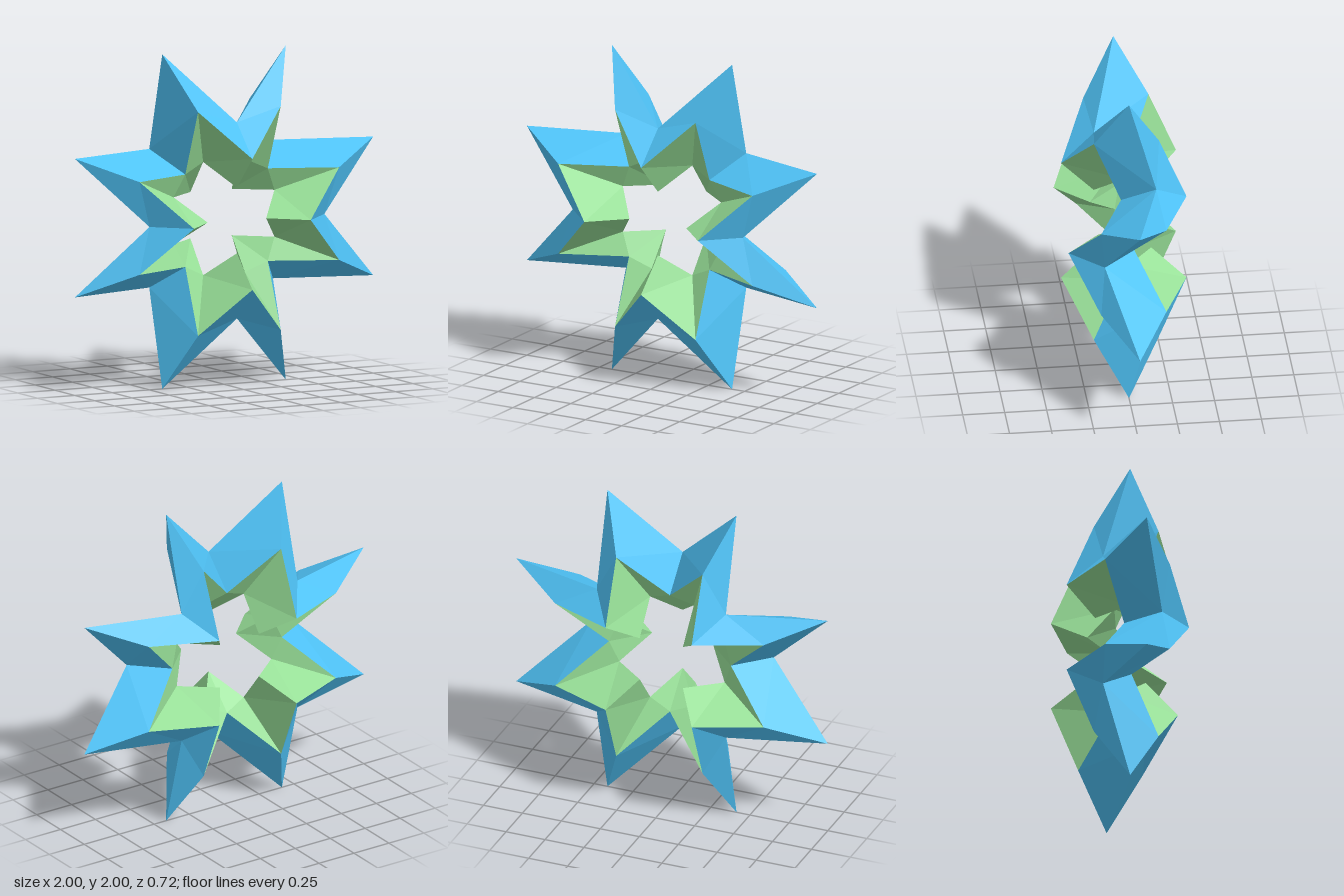
import * as THREE from 'three';

const POINTS = 8;
const STATIONS = POINTS * 2;

// Diamond section [radius, z], ordered outer, front, inner, back
const diamond = (r, z, halfR, halfZ) => [[r + halfR, z], [r, z + halfZ], [r - halfR, z], [r, z - halfZ]];

// Even stations are valleys, alternately forward and back; odd ones are star tips
function section(s) {
  const angle = (s * Math.PI * 2) / STATIONS;
  const isTip = s % 2 === 1;
  const side = s % 4 === 0 ? 1 : -1;
  const profile = isTip ? diamond(0.724, 0, 0.358, 0.194) : diamond(0.391, 0.163 * side, 0.195, 0.195);
  return profile.map(([r, z]) => new THREE.Vector3(r * Math.cos(angle), 1 + r * Math.sin(angle), z));
}

// Joins neighbouring sections along the given sides of the diamond
function band(name, sides, color) {
  const corners = [];
  for (let s = 0; s < STATIONS; s++) {
    const p = section(s);
    const q = section((s + 1) % STATIONS);
    for (const j of sides) {
      const k = (j + 1) % 4;
      // Creases mirror across each tip and across the middle plane
      if ((s % 2 === 1) === (j < 2)) corners.push(p[j], q[j], p[k], q[j], q[k], p[k]);
      else corners.push(p[j], q[j], q[k], p[j], q[k], p[k]);
    }
  }
  const geometry = new THREE.BufferGeometry().setFromPoints(corners);
  geometry.computeVertexNormals();
  const mesh = new THREE.Mesh(geometry, new THREE.MeshStandardMaterial({ color, flatShading: true }));
  mesh.name = name;
  return mesh;
}

export function createModel() {
  const group = new THREE.Group();
  group.name = 'foldedStarRing';
  group.add(band('outerStar', [0, 3], 0x4fc3f7)); // outward facing folds
  group.add(band('innerStar', [1, 2], 0x98e098)); // inward facing folds
  return group;
}
